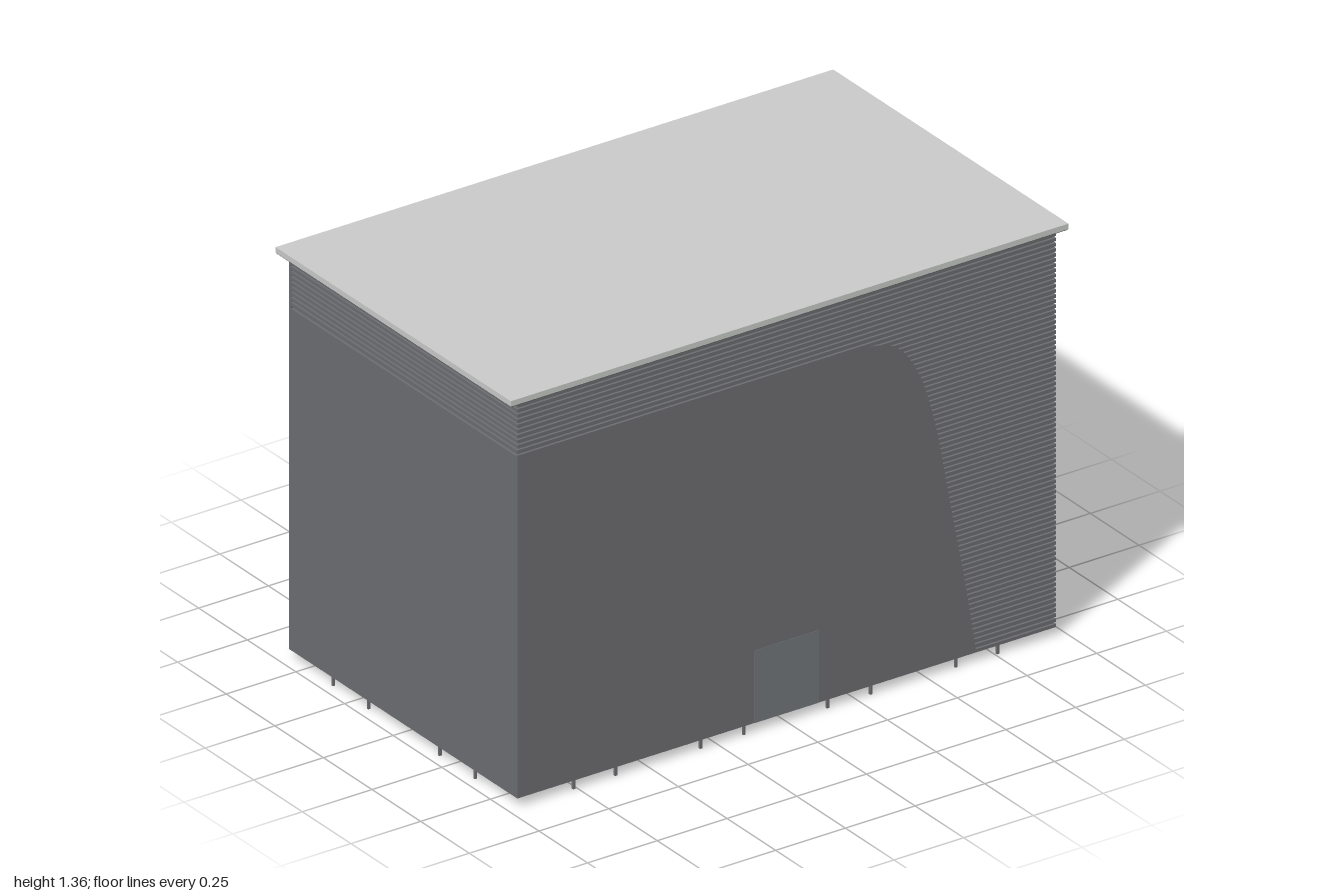
import * as THREE from 'three';

const mat = (name, color) => {
  const m = new THREE.MeshStandardMaterial({ color });
  m.name = name;
  return m;
};

export function createModel() {
  const group = new THREE.Group();
  const cladding = mat('grey cladding', 0x6c6d71);
  const doorGrey = mat('door grey', 0x727679);
  const roofGrey = mat('pale roof', 0xc8cac8);
  const dark = mat('dark underside', 0x5a5b5e);

  // Box given by its minimum and maximum corners
  const box = (name, material, x0, x1, y0, y1, z0, z1, parent = group) => {
    const mesh = new THREE.Mesh(new THREE.BoxGeometry(x1 - x0, y1 - y0, z1 - z0), material);
    mesh.position.set((x0 + x1) / 2, (y0 + y1) / 2, (z0 + z1) / 2);
    mesh.name = name;
    parent.add(mesh);
    return mesh;
  };

  const X = 0.966, FRONT = 0.59, BACK = -0.585, BASE = 0.03, TOP = 1.34, BAND = 1.16, DEPTH = 0.008;

  // Core, smooth back and left panels
  box('core', cladding, -X + DEPTH, X - DEPTH, BASE, TOP, BACK + 0.002, FRONT - DEPTH);
  box('backPanel', cladding, -X, X - DEPTH, BASE, TOP, BACK, BACK + 0.01);
  box('leftPanel', cladding, -X, -X + 0.01, BASE, BAND, BACK, FRONT);
  box('floor', dark, -X + 0.01, X - 0.01, BASE - 0.002, BASE, BACK + 0.01, FRONT - 0.01);

  // Smooth front panel with a curved right edge
  const edge = new THREE.CatmullRomCurve3([
    [0.68, 0.03], [0.64, 0.27], [0.59, 0.53], [0.525, 0.86],
    [0.47, 1.02], [0.39, 1.125], [0.27, BAND],
  ].map(([x, y]) => new THREE.Vector3(x, y, 0))).getPoints(48);
  const panel = new THREE.Shape();
  panel.moveTo(-X, BASE);
  edge.forEach((p) => panel.lineTo(p.x, p.y));
  panel.lineTo(-X, BAND);
  panel.closePath();
  const frontPanel = new THREE.Mesh(
    new THREE.ExtrudeGeometry(panel, { depth: DEPTH, bevelEnabled: false }), cladding);
  frontPanel.position.z = FRONT - DEPTH;
  frontPanel.name = 'frontPanel';
  group.add(frontPanel);

  const edgeX = (y) => {
    const i = edge.findIndex((p) => p.y >= y);
    if (i < 0) return -X;
    if (i === 0) return edge[0].x;
    const a = edge[i - 1], b = edge[i];
    return a.x + (b.x - a.x) * (y - a.y) / (b.y - a.y);
  };

  // Horizontal slats: right side, front beyond the curve, left side band
  const slats = new THREE.Group();
  slats.name = 'slats';
  group.add(slats);
  const rows = 77, pitch = (TOP - BASE) / rows;
  for (let i = 0; i < rows; i++) {
    const y0 = BASE + i * pitch, y1 = y0 + pitch * 0.62;
    box('rightSlat', cladding, X - DEPTH, X, y0, y1, BACK, FRONT, slats);
    box('frontSlat', cladding, edgeX(y1), X - DEPTH, y0, y1, FRONT - DEPTH, FRONT, slats);
    if (y0 >= BAND - 0.005) {
      box('leftSlat', cladding, -X, -X + DEPTH, y0, y1, BACK, FRONT, slats);
    }
  }

  // Overhanging flat roof
  box('roof', roofGrey, -1, 1, TOP + 0.002, 1.36, -0.605, 0.605);
  box('soffit', dark, -0.998, 0.998, TOP - 0.001, TOP + 0.002, -0.603, 0.603);

  // Door
  box('door', doorGrey, -0.115, 0.115, BASE, 0.27, FRONT - 0.004, FRONT + 0.001);

  // Round vent at the foot of the back wall
  const vent = new THREE.Mesh(new THREE.CylinderGeometry(0.024, 0.024, 0.004, 24), roofGrey);
  vent.rotation.x = Math.PI / 2;
  vent.position.set(-0.94, 0.07, BACK - 0.001);
  vent.name = 'vent';
  group.add(vent);

  // Plate under the floor
  box('underPlate', doorGrey, 0.79, 0.92, 0.02, BASE, -0.19, 0.4);

  // Short posts along the front and both sides
  const post = (x, z) => box('post', cladding, x - 0.004, x + 0.004, 0, BASE, z - 0.004, z + 0.004);
  for (const s of [-1, 1]) {
    for (const x of [0.15, 0.305, 0.61, 0.76]) post(s * x, 0.584);
    for (const z of [-0.365, -0.183, 0.183, 0.365]) post(s * 0.96, z);
  }
  return group;
}
